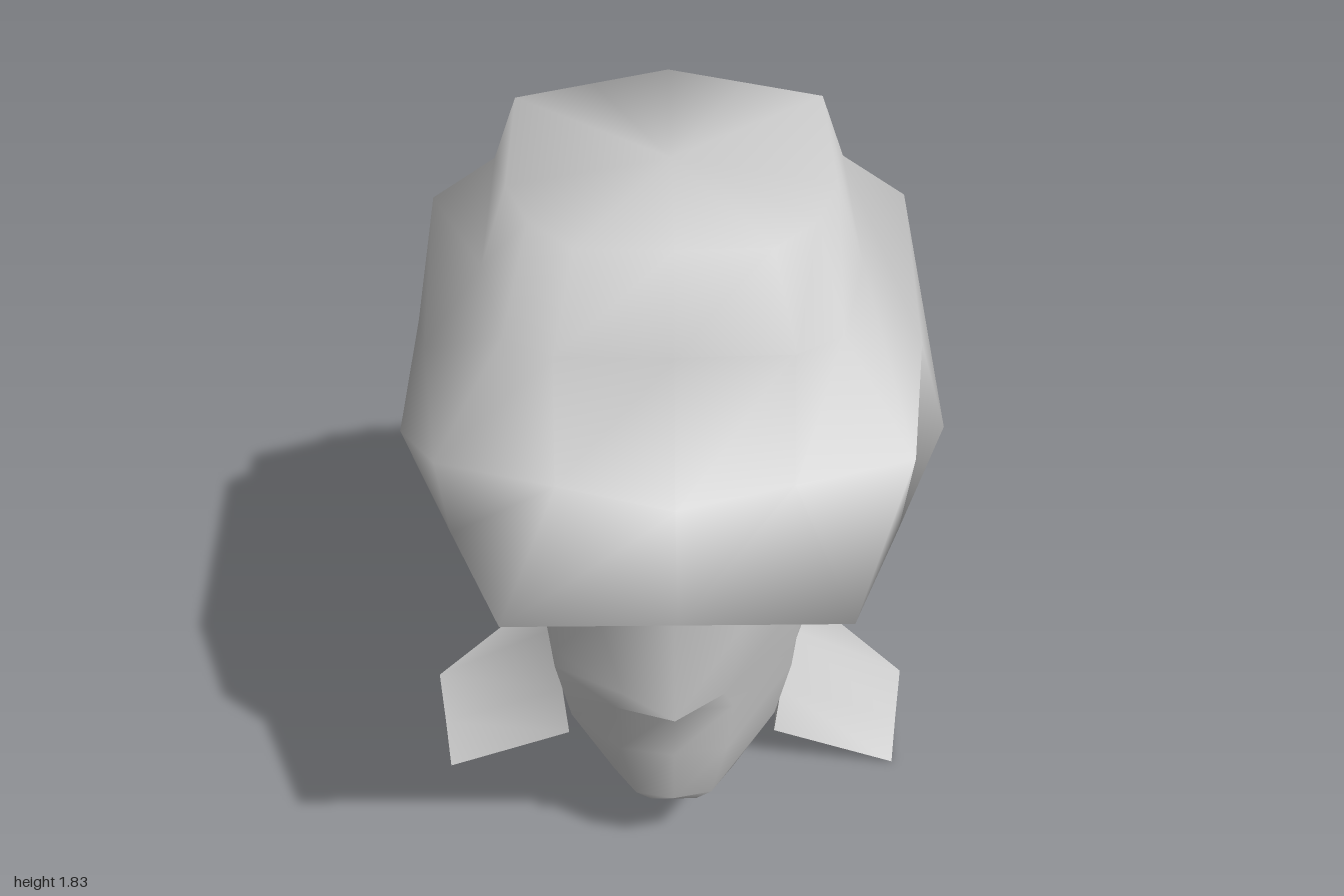
import * as THREE from 'three';

const grey = new THREE.MeshStandardMaterial({ color: 0xcccccc, side: THREE.DoubleSide });
grey.name = 'plain grey';

const flip = ([x, y, z]) => [-x, y, z];

// Smooth skin over rows of points, listed bottom to top, running towards +x at the front
function skin(name, rows, closed) {
  const n = rows[0].length, index = [];
  for (let r = 0; r < rows.length - 1; r++) {
    for (let i = 0; i < (closed ? n : n - 1); i++) {
      const j = (i + 1) % n;
      const a = r * n + i, b = r * n + j, c = b + n, d = a + n;
      index.push(a, b, c, a, c, d);
    }
  }
  const geo = new THREE.BufferGeometry();
  geo.setAttribute('position', new THREE.Float32BufferAttribute(rows.flat(2), 3));
  geo.setIndex(index);
  geo.computeVertexNormals();
  const mesh = new THREE.Mesh(geo, grey);
  mesh.name = name;
  return mesh;
}

// Half a row from front to back, continued round the other side
const roundBack = (half) => [...half, ...half.slice(0, -1).reverse().map(flip)];
// Half a row from the centre outwards, mirrored about the centre
const roundFront = (half) => [...half.slice(1).reverse().map(flip), ...half];

// Hat: underside, brim edge, turned-up brim, crown shoulder, top
function makeHat() {
  const rows = [
    [[0, 1.09, 0.66], [0.2, 1.09, 0.65], [0.35, 1.09, 0.49], [0.51, 1.09, 0.36], [0.51, 1.09, -0.1], [0.3, 1.09, -0.52], [0, 1.09, -0.6]],
    [[0, 1.15, 1], [0.4, 1.15, 1], [0.53, 1.17, 0.66], [0.685, 1.2, 0.25], [0.685, 1.2, -0.32], [0.51, 1.2, -0.89], [0, 1.2, -1]],
    [[0, 1.26, 0.71], [0.28, 1.32, 0.69], [0.56, 1.37, 0.66], [0.59, 1.54, 0.42], [0.63, 1.54, -0.38], [0.48, 1.26, -0.82], [0, 1.22, -0.74]],
    [[0, 1.6, 0.58], [0.28, 1.6, 0.57], [0.4, 1.6, 0.48], [0.46, 1.66, 0.24], [0.46, 1.66, -0.37], [0.34, 1.5, -0.55], [0, 1.47, -0.58]],
    [[0, 1.83, 0.49], [0.23, 1.83, 0.48], [0.34, 1.83, 0.34], [0.4, 1.83, 0.15], [0.4, 1.83, -0.37], [0.2, 1.83, -0.46], [0, 1.83, -0.55]],
  ];
  const centre = (y) => rows[0].map(() => [0, y, 0]);
  const ring = (half) => roundBack(half).slice(0, -1);
  return skin('hat', [centre(1.09), ...rows, centre(1.83)].map(ring), true);
}

// Face: forehead, brow, eyes, nose tip, nose base, jaw, chin
function makeFace() {
  const rows = [
    [[0, 1.09, 0.66], [0.16, 1.09, 0.65], [0.28, 1.09, 0.57], [0.35, 1.09, 0.48]],
    [[0, 0.97, 0.66], [0.19, 0.96, 0.63], [0.33, 0.94, 0.49], [0.4, 0.92, 0.38]],
    [[0, 0.86, 0.6], [0.19, 0.86, 0.58], [0.34, 0.84, 0.45], [0.39, 0.82, 0.32]],
    [[0, 0.63, 0.71], [0.13, 0.63, 0.6], [0.31, 0.63, 0.42], [0.35, 0.63, 0.22]],
    [[0, 0.57, 0.6], [0.15, 0.57, 0.58], [0.31, 0.57, 0.41], [0.34, 0.57, 0.21]],
    [[0, 0.4, 0.57], [0.14, 0.4, 0.54], [0.27, 0.4, 0.4], [0.31, 0.4, 0.2]],
    [[0, 0.23, 0.545], [0.1, 0.23, 0.52], [0.16, 0.23, 0.42], [0.18, 0.24, 0.32]],
    [[0, 0.18, 0.49], [0.06, 0.18, 0.49], [0.06, 0.18, 0.45], [0.05, 0.19, 0.42]],
  ];
  return skin('face', rows.reverse().map(roundFront), false);
}

// Underside of the jaw
function makeJawUnderside() {
  const rows = [
    [[0, 0.4, 0.2], [0.31, 0.4, 0.2]],
    [[0, 0.24, 0.32], [0.18, 0.24, 0.32]],
    [[0, 0.19, 0.42], [0.05, 0.19, 0.42]],
    [[0, 0.18, 0.49], [0.06, 0.18, 0.49]],
  ];
  return skin('jawUnderside', rows.map(roundFront), false);
}

// Back of the head, running down through the neck to two shoulder flaps
function makeHeadAndNeck() {
  const rows = [
    [[0.35, 1.09, 0.48], [0.51, 1.09, 0.36], [0.51, 1.09, -0.1], [0.3, 1.09, -0.52], [0, 1.09, -0.6]],
    [[0.4, 0.92, 0.38], [0.51, 0.92, 0.22], [0.57, 0.92, -0.34], [0.34, 0.83, -0.54], [0, 0.8, -0.6]],
    [[0.35, 0.63, 0.22], [0.36, 0.62, 0.12], [0.37, 0.6, -0.18], [0.26, 0.55, -0.37], [0, 0.52, -0.43]],
    [[0.31, 0.4, 0.2], [0.3, 0.4, 0.1], [0.3, 0.41, -0.15], [0.25, 0.4, -0.39], [0, 0.4, -0.45]],
    [[0.29, 0.12, 0.14], [0.31, 0.18, 0.02], [0.34, 0.23, -0.2], [0.3, 0.29, -0.42], [0, 0.3, -0.47]],
    [[0.63, 0, 0.14], [0.655, 0.03, -0.02], [0.685, 0.06, -0.2], [0.34, 0.23, -0.42], [0, 0.23, -0.48]],
  ];
  return skin('headAndNeck', rows.reverse().map(roundBack), false);
}

export function createModel() {
  const group = new THREE.Group();
  group.name = 'hattedHead';
  group.add(makeHat(), makeFace(), makeJawUnderside(), makeHeadAndNeck());
  return group;
}
